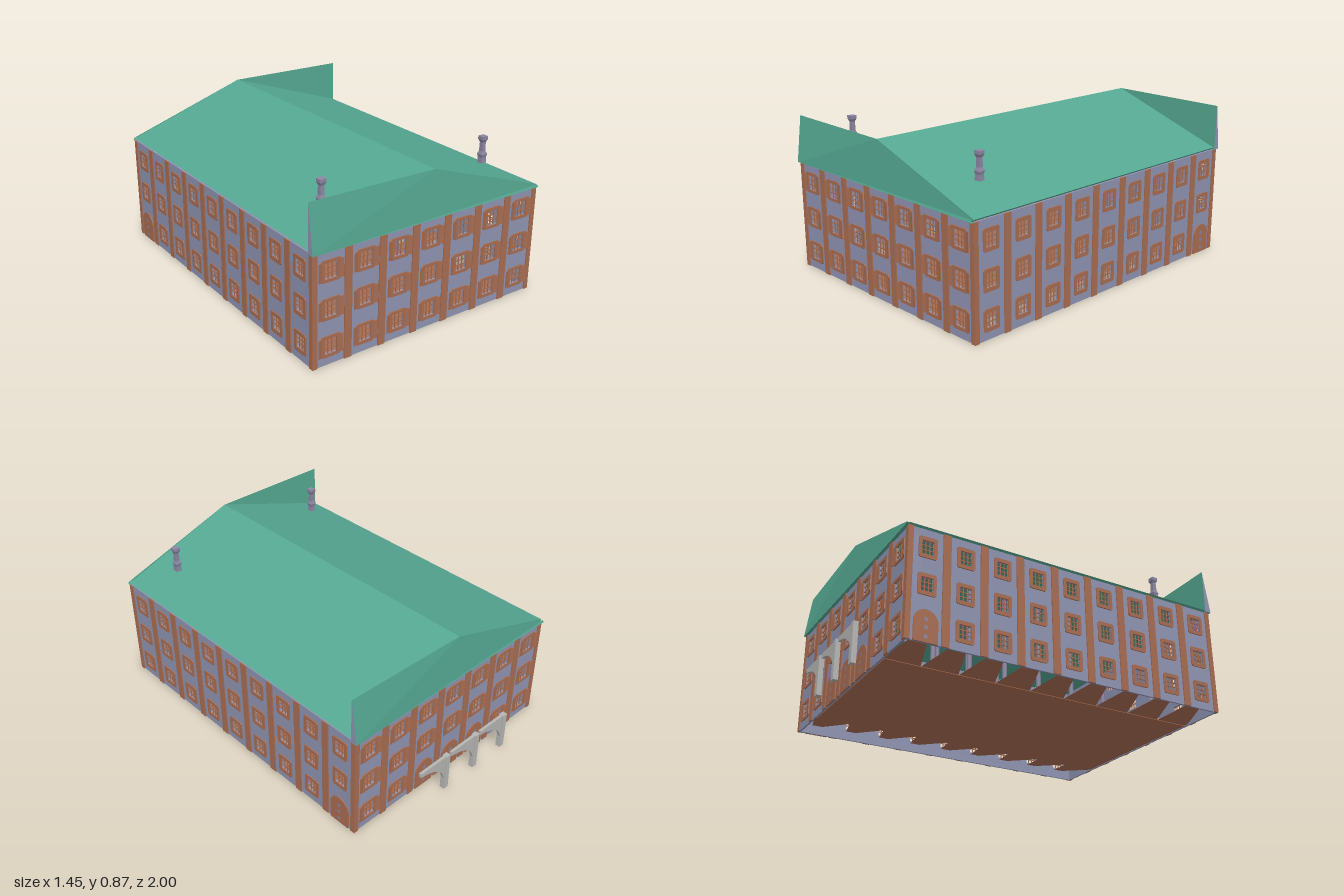
import * as THREE from 'three';

const mat = (name, color, side = THREE.FrontSide) => {
  const m = new THREE.MeshStandardMaterial({ color, side });
  m.name = name;
  return m;
};
const plaster = mat('bluePlaster', 0x8f94b2, THREE.DoubleSide);
const trim = mat('brownTrim', 0xa86d52, THREE.DoubleSide);
const green = mat('greenRoof', 0x55a892, THREE.DoubleSide);
const stone = mat('greyStone', 0xb6b6b4);
const mauve = mat('mauveStone', 0x8c86a2);

const HX = 0.715, HZ = 0.935, WALL_H = 0.607, CZ = 0.047;
const ROWS = [0.102, 0.304, 0.505];

function add(parent, name, geo, material, x = 0, y = 0, z = 0) {
  const m = new THREE.Mesh(geo, material);
  m.name = name;
  m.position.set(x, y, z);
  parent.add(m);
  return m;
}
const box = (w, h, d) => new THREE.BoxGeometry(w, h, d);
const extrude = (shape, depth) =>
  new THREE.ExtrudeGeometry(shape, { depth, bevelEnabled: false, curveSegments: 10 });

function rectPath(P, x, y, w, h) {
  const p = new P();
  p.moveTo(x - w / 2, y - h / 2);
  p.lineTo(x + w / 2, y - h / 2);
  p.lineTo(x + w / 2, y + h / 2);
  p.lineTo(x - w / 2, y + h / 2);
  p.closePath();
  return p;
}

// flat polygon, corners counter-clockwise, drawn as a triangle fan
function panel(points) {
  const v = [];
  for (let i = 1; i < points.length - 1; i++) v.push(...points[0], ...points[i], ...points[i + 1]);
  const g = new THREE.BufferGeometry();
  g.setAttribute('position', new THREE.Float32BufferAttribute(v, 3));
  g.computeVertexNormals();
  return g;
}

// framed opening with glazing bars, optionally with half-open shutters
function makeWindow(o) {
  const g = new THREE.Group();
  g.name = 'window';
  const w = o.frameW / 2, h = 0.058, c = 0.008;
  const s = new THREE.Shape();
  s.moveTo(-w + c, -h);
  s.lineTo(w - c, -h); s.lineTo(w, -h + c);
  s.lineTo(w, h - c); s.lineTo(w - c, h);
  s.lineTo(-w + c, h); s.lineTo(-w, h - c);
  s.lineTo(-w, -h + c);
  s.closePath();
  s.holes.push(rectPath(THREE.Path, 0, 0, o.openW, o.openH));
  add(g, 'windowSurround', extrude(s, 0.006), trim);
  for (const k of [-1, 1]) {
    add(g, 'verticalBar', box(0.005, o.openH, 0.005), trim, k * o.openW / 6, 0, -0.003);
    add(g, 'horizontalBar', box(o.openW, 0.005, 0.005), trim, 0, k * o.openH / 6, -0.003);
    if (o.shutters) {
      const sh = add(g, 'shutter', box(0.026, 0.1, 0.004), trim, k * 0.059, 0, 0.006);
      sh.rotation.y = -k * 0.25;
    }
  }
  return g;
}

// arched door with small round fittings
function makeDoor() {
  const g = new THREE.Group();
  g.name = 'archedDoor';
  const s = new THREE.Shape();
  s.moveTo(-0.064, 0);
  s.lineTo(0.064, 0);
  s.lineTo(0.064, 0.106);
  s.absarc(0, 0.106, 0.064, 0, Math.PI, false);
  s.closePath();
  add(g, 'doorLeaf', extrude(s, 0.007), trim);
  for (const y of [0.03, 0.077, 0.12])
    add(g, 'doorFitting', new THREE.CircleGeometry(0.011, 12), mauve, 0, y, 0.008);
  return g;
}

// one facade, outer face on z = 0 and looking towards +z
function makeWall(name, o) {
  const g = new THREE.Group();
  g.name = name;
  const shape = rectPath(THREE.Shape, 0, WALL_H / 2, o.width, WALL_H);
  for (let i = 0; i < o.bays; i++) {
    const x = (i - (o.bays - 1) / 2) * o.bay;
    ROWS.forEach((y, row) => {
      if (row === 0 && o.doors.includes(i)) {
        const d = makeDoor();
        d.position.x = x;
        g.add(d);
        return;
      }
      shape.holes.push(rectPath(THREE.Path, x, y, o.openW, o.openH));
      const w = makeWindow(o);
      w.position.set(x, y, 0);
      g.add(w);
    });
  }
  add(g, 'wallPlaster', extrude(shape, 0.01), plaster, 0, 0, -0.01);
  for (let i = 1; i < o.bays; i++)
    add(g, 'pilaster', box(0.043, WALL_H, 0.006), trim, (i - o.bays / 2) * o.bay, WALL_H / 2, 0.003);
  for (const k of [-1, 1])
    add(g, 'cornerPilaster', box(0.028, WALL_H, 0.006), trim, k * (o.width / 2 - 0.009), WALL_H / 2, 0.003);
  return g;
}

// lopsided gable screen: full height on one side, following the slope on the other
function makeGable() {
  const g = new THREE.Group();
  g.name = 'gableScreen';
  const a = [-0.727, 0.608, 0.953], b = [0.722, 0.608, 0.953], c = [0.715, 0.622, 0.948];
  const ridge = [0, 0.866, 0.936], top = [-0.727, 0.866, 0.918];
  const a2 = [-0.727, 0.608, 0.915], b2 = [0.722, 0.608, 0.935];
  add(g, 'gableFace', panel([a, b, c, ridge, top]), green);
  add(g, 'gableBack', panel([a2, top, ridge, c, b2]), green);
  add(g, 'gableSoffit', panel([a, a2, b2, b]), green);
  add(g, 'gableEnd', panel([a, top, a2]), plaster);
  return g;
}

// quarter arch springing from a square pillar
function makeArch() {
  const g = new THREE.Group();
  g.name = 'porchArch';
  const s = new THREE.Shape();
  s.moveTo(0.02, 0.225);
  s.lineTo(0.02, 0.075);
  s.lineTo(0.032, 0.075);
  s.quadraticCurveTo(0.06, 0.185, 0.217, 0.2);
  s.lineTo(0.217, 0.225);
  s.closePath();
  add(g, 'archSpandrel', extrude(s, 0.016), stone, 0, 0, -0.008);
  add(g, 'archPillar', box(0.032, 0.226, 0.028), stone, 0.016, 0.113, 0);
  return g;
}

export function createModel() {
  const model = new THREE.Group();
  model.name = 'house';
  const house = new THREE.Group();
  house.name = 'building';
  house.position.z = CZ;
  model.add(house);

  // walls
  const ends = { width: 2 * HX, bays: 7, bay: 0.205, frameW: 0.112, openW: 0.07, openH: 0.083, shutters: true };
  const sides = { width: 2 * HZ, bays: 9, bay: 0.208, frameW: 0.1, openW: 0.064, openH: 0.074, shutters: false };
  const place = (wall, x, z, turn) => {
    wall.position.set(x, 0, z);
    wall.rotation.y = turn;
    house.add(wall);
  };
  place(makeWall('frontWall', { ...ends, doors: [] }), 0, HZ, 0);
  place(makeWall('backWall', { ...ends, doors: [2, 3, 4] }), 0, -HZ, Math.PI);
  place(makeWall('leftWall', { ...sides, doors: [8] }), HX, 0, Math.PI / 2);
  place(makeWall('rightWall', { ...sides, doors: [0] }), -HX, 0, -Math.PI / 2);

  // pitched roof with undercut eaves
  const roof = new THREE.Shape();
  roof.moveTo(-0.705, 0.608);
  roof.lineTo(0.705, 0.608);
  roof.lineTo(0.719, 0.62);
  roof.lineTo(0, 0.866);
  roof.lineTo(-0.719, 0.62);
  roof.closePath();
  add(house, 'pitchedRoof', extrude(roof, 1.872), green, 0, 0, -0.936);
  for (const turn of [0, Math.PI]) {
    const gable = makeGable();
    gable.rotation.y = turn;
    house.add(gable);
  }

  // chimneys, square in plan
  const profile = [[0, 0.72], [0.017, 0.72], [0.015, 0.75], [0.019, 0.768], [0.012, 0.785],
    [0.011, 0.835], [0.018, 0.85], [0.018, 0.868], [0, 0.868]]
    .map(([r, y]) => new THREE.Vector2(r * Math.SQRT2, y));
  const chimney = new THREE.LatheGeometry(profile, 4, Math.PI / 4).toNonIndexed();
  chimney.computeVertexNormals();
  for (const k of [-1, 1]) add(model, 'chimney', chimney, mauve, k * 0.52, 0, 0.77);

  // floor with tilted boards along both long sides
  add(house, 'floor', box(0.92, 0.006, 1.84), trim, 0, 0.004, 0);
  for (const k of [-1, 1])
    for (let i = -4; i <= 4; i++) {
      const z = i * 0.208;
      add(house, 'tiltedFloorBoard',
        panel([[k * 0.46, 0.004, z - 0.102], [k * 0.46, 0.004, z + 0.102], [k * 0.7, 0.05, z + 0.03], [k * 0.7, 0.05, z - 0.03]]), trim);
    }

  // inner columns
  const column = new THREE.CylinderGeometry(0.013, 0.013, 0.6, 10);
  for (const k of [-1, 1])
    for (let i = 0; i < 6; i++) add(model, 'innerColumn', column, mauve, k * 0.4, 0.305, 0.45 - i * 0.208);

  // free-standing arches behind the house
  for (let i = 0; i < 3; i++) {
    const arch = makeArch();
    arch.position.set(-0.344 + i * 0.235, 0, -0.985);
    model.add(arch);
  }
  return model;
}
